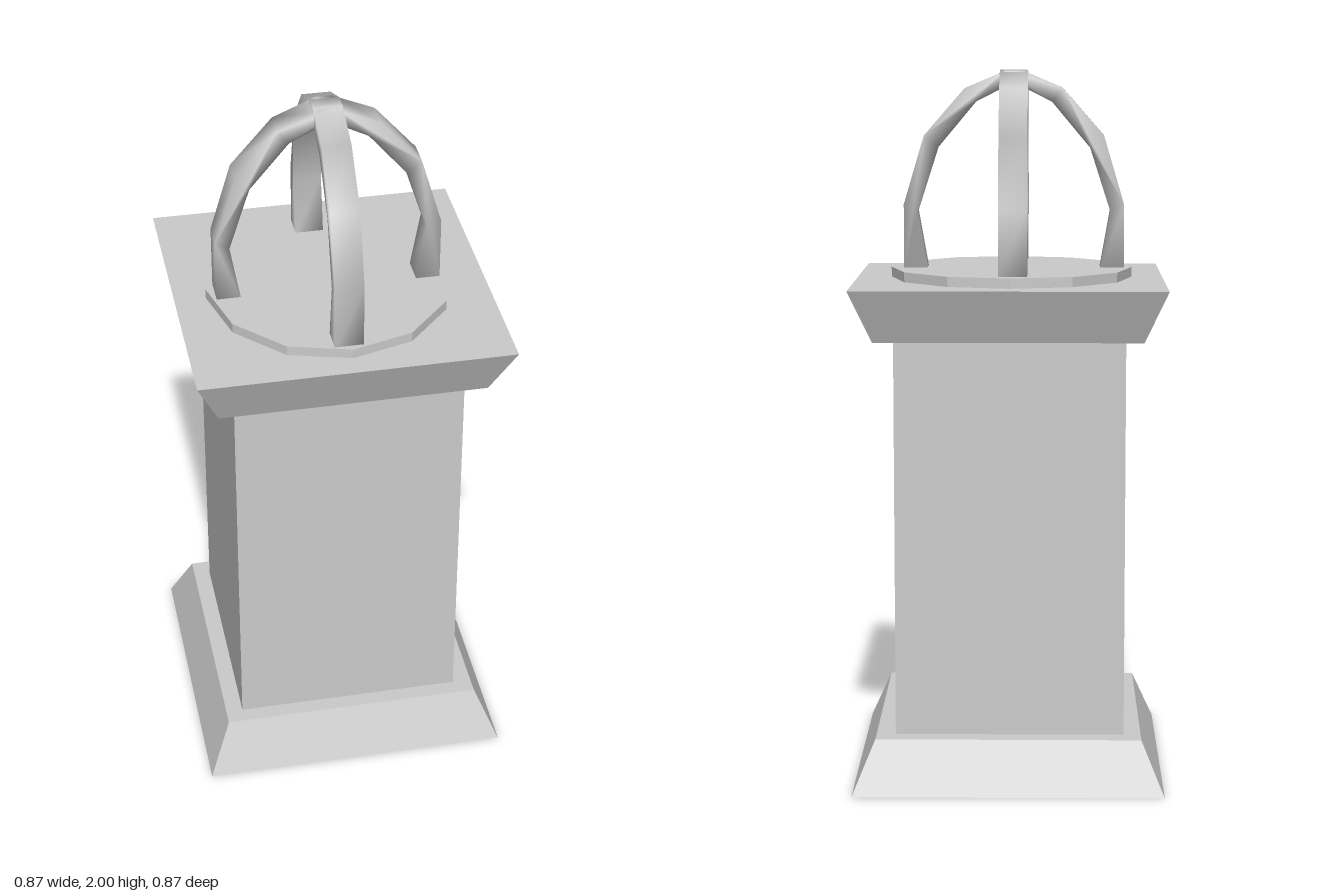
import * as THREE from 'three';
import { mergeVertices } from 'three/addons/utils/BufferGeometryUtils.js';

const flat = new THREE.MeshStandardMaterial({ color: 0xcccccc, flatShading: true });
const smooth = new THREE.MeshStandardMaterial({ color: 0xcccccc });

// Square block whose half-width runs from bottom to top
function block(name, bottom, top, y0, y1) {
  const geo = new THREE.CylinderGeometry(
    top * Math.SQRT2, bottom * Math.SQRT2, y1 - y0, 4, 1, false, Math.PI / 4);
  const mesh = new THREE.Mesh(geo, flat);
  mesh.name = name;
  mesh.position.y = (y0 + y1) / 2;
  return mesh;
}

// Flat-sided arched strap with softened shading, lying in the xy plane
function archGeometry(width) {
  const outer = [[0.314, 1.43], [0.314, 1.62], [0.256, 1.815], [0.14, 1.948], [0.022, 1.998]];
  const inner = [[0.245, 1.43], [0.275, 1.6], [0.217, 1.78], [0.108, 1.91], [0.02, 1.955]];
  const mirror = (pts) => pts.map(([x, y]) => [-x, y]).reverse();
  const outline = [...outer, ...mirror(outer), ...mirror(inner).reverse(), ...[...inner].reverse()];
  const shape = new THREE.Shape(outline.map(([x, y]) => new THREE.Vector2(x, y)));
  const geo = new THREE.ExtrudeGeometry(shape, { depth: width, bevelEnabled: false });
  geo.translate(0, 0, -width / 2);
  geo.deleteAttribute('normal');
  geo.deleteAttribute('uv');
  const merged = mergeVertices(geo, 1e-4);
  merged.computeVertexNormals();
  return merged;
}

export function createModel() {
  const model = new THREE.Group();
  model.name = 'pedestal';

  // Flared base, square shaft and flared cap
  const shaft = block('shaft', 0.321, 0.321, 0.14, 1.275);
  shaft.position.x = -0.003;
  shaft.position.z = 0.005;
  model.add(
    block('base', 0.436, 0.372, 0, 0.148),
    shaft,
    block('cap', 0.372, 0.436, 1.265, 1.412),
  );

  // Twelve-sided plate on the cap
  const plate = new THREE.Mesh(new THREE.CylinderGeometry(1, 1, 0.035, 12), flat);
  plate.name = 'plate';
  plate.scale.set(0.344, 1, 0.363);
  plate.position.set(-0.004, 1.4225, 0.006);
  model.add(plate);

  // Two crossing arches
  const arch = archGeometry(0.08);
  const arches = new THREE.Group();
  arches.name = 'arches';
  arches.position.set(-0.011, 0, 0.022);
  const side = new THREE.Mesh(arch, smooth);
  side.name = 'sideArch';
  const front = new THREE.Mesh(arch, smooth);
  front.name = 'frontArch';
  front.rotation.y = Math.PI / 2;
  front.scale.set(1.043, 1.001, 1);
  arches.add(side, front);
  model.add(arches);

  return model;
}
